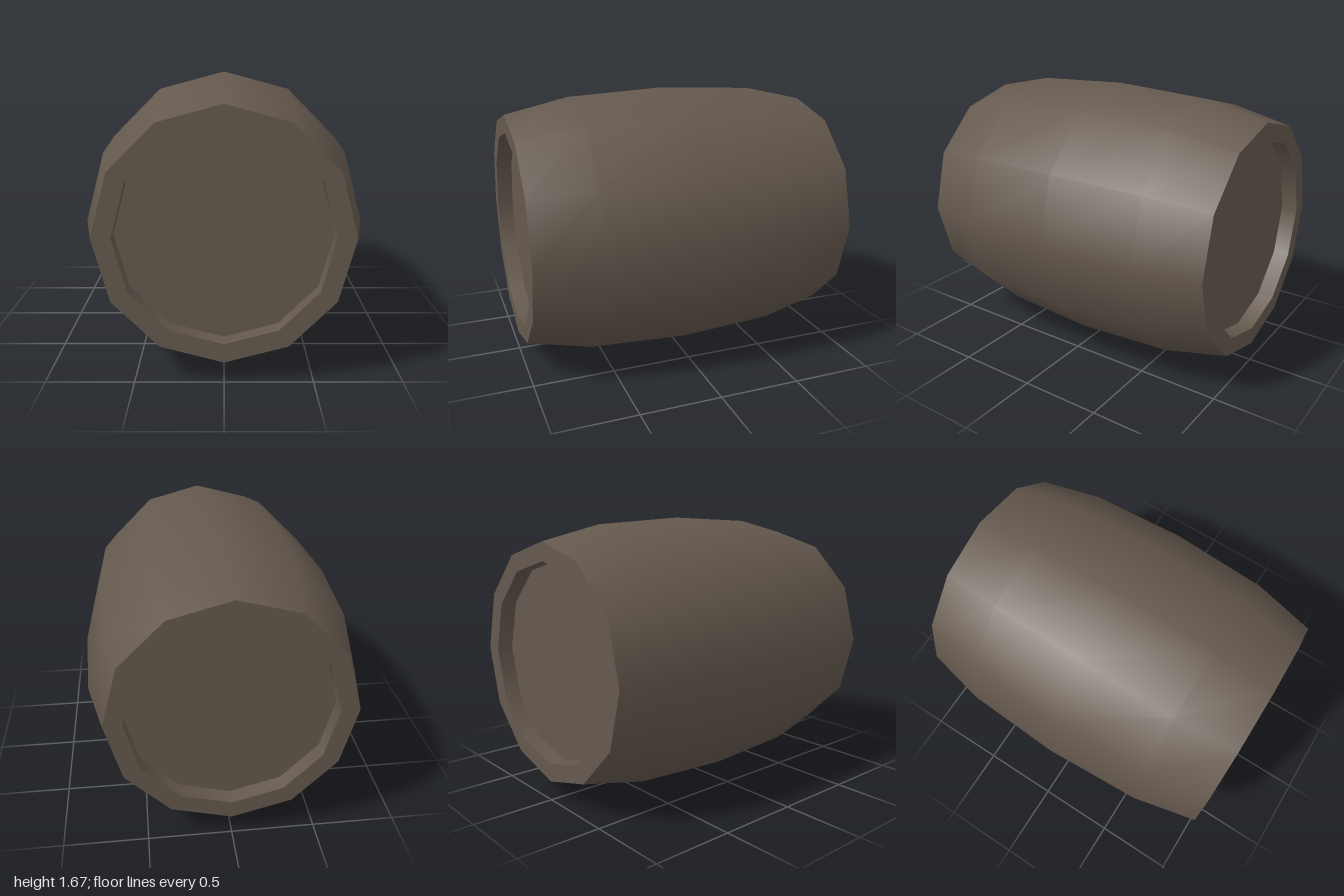
import * as THREE from 'three';

const SIDES = 12;
const CENTRE_Y = 0.833;

export function createModel() {
  const model = new THREE.Group();
  model.name = 'barrel';
  const wood = new THREE.MeshStandardMaterial({ color: 0x65594e });
  wood.name = 'dark wood';

  // Revolves a [radius, position] profile; each part has its own normals, so edges stay sharp
  const turned = (name, profile, parent) => {
    const points = profile.map(([r, y]) => new THREE.Vector2(r, y));
    const mesh = new THREE.Mesh(new THREE.LatheGeometry(points, SIDES), wood);
    mesh.name = name;
    parent.add(mesh);
  };

  // The barrel lies on its side along z
  const body = new THREE.Group();
  body.name = 'body';
  body.rotation.x = Math.PI / 2;
  body.position.y = CENTRE_Y;
  model.add(body);

  // Bulging staves
  turned('staves', [[0.715, -1], [0.802, -0.61], [0.833, 0], [0.802, 0.61], [0.715, 1]], body);

  // Both ends: flat rim, straight inner wall and recessed head
  for (const end of ['front', 'back']) {
    const cap = new THREE.Group();
    cap.name = end + 'End';
    if (end === 'back') cap.rotation.x = Math.PI;
    turned(end + 'Rim', [[0.715, 1], [0.605, 1]], cap);
    turned(end + 'InnerWall', [[0.605, 1], [0.605, 0.9]], cap);
    turned(end + 'Head', [[0.605, 0.9], [0, 0.9]], cap);
    body.add(cap);
  }
  return model;
}
